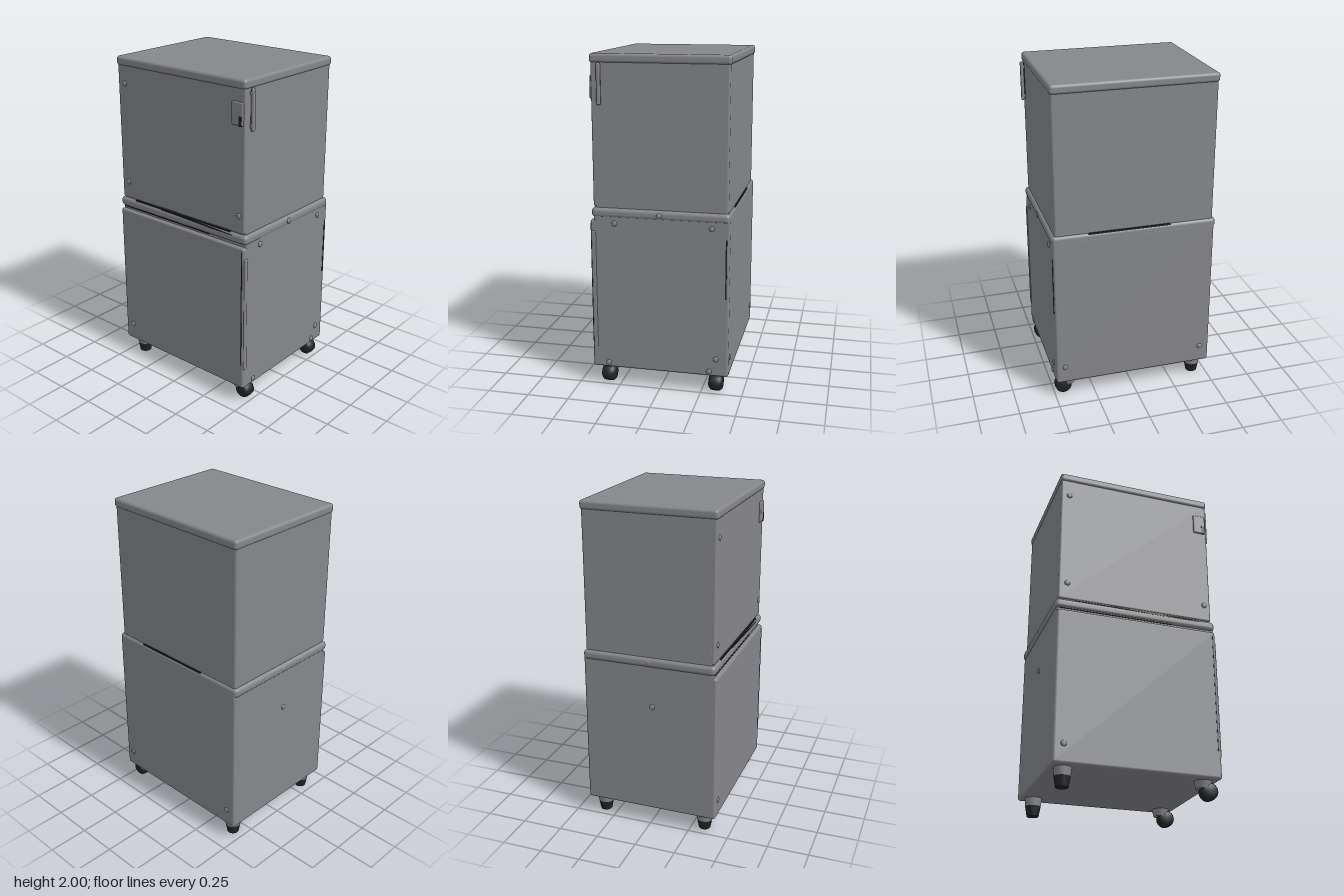
import * as THREE from 'three';
import { RoundedBoxGeometry } from 'three/addons/geometries/RoundedBoxGeometry.js';

export function createModel() {
  const model = new THREE.Group();
  const mat = (name, color) => {
    const m = new THREE.MeshStandardMaterial({ color });
    m.name = name;
    return m;
  };
  const grey = mat('cabinet grey', 0x86878b);
  const dark = mat('rubber black', 0x222426);

  const add = (name, geometry, material, x, y, z, parent = model) => {
    const mesh = new THREE.Mesh(geometry, material);
    mesh.name = name;
    mesh.position.set(x, y, z);
    parent.add(mesh);
    return mesh;
  };
  // Rounded box given by its extents
  const slab = (name, x0, x1, y0, y1, z0, z1, r, material = grey) =>
    add(name, new RoundedBoxGeometry(x1 - x0, y1 - y0, z1 - z0, 3, r), material,
      (x0 + x1) / 2, (y0 + y1) / 2, (z0 + z1) / 2);
  const plate = (name, x, y, z, w, h, d) => add(name, new THREE.BoxGeometry(w, h, d), dark, x, y, z);

  // Lower cabinet, its door, the ledge, the upper cabinet and its lid
  slab('lowerCabinet', -0.5, 0.495, 0.11, 1.08, -0.415, 0.395, 0.014);
  slab('lowerDoor', -0.5, 0.495, 0.11, 1.035, 0.37, 0.418, 0.014);
  slab('ledge', -0.51, 0.5, 1.05, 1.11, -0.415, 0.41, 0.024);
  slab('upperCabinet', -0.492, 0.48, 1.06, 1.99, -0.402, 0.392, 0.014);
  slab('upperDoor', -0.492, 0.48, 1.115, 1.96, 0.375, 0.4, 0.01);
  slab('lid', -0.498, 0.486, 1.945, 2, -0.41, 0.408, 0.018);

  // Dark seams between the cabinets and on the lid edges
  plate('frontUpperSeam', 0, 1.11, 0.4, 0.76, 0.008, 0.008);
  plate('frontLowerSeam', -0.13, 1.054, 0.401, 0.7, 0.008, 0.008);
  const slit = plate('ledgeSlit', 0.12, 1.1, 0.405, 0.56, 0.008, 0.008);
  slit.rotation.z = -0.03;
  plate('backSeam', 0.03, 1.105, -0.408, 0.5, 0.01, 0.008);
  plate('sideSlit', 0.493, 0.78, -0.395, 0.008, 0.36, 0.008);
  plate('doorSlit', 0.478, 0.64, 0.417, 0.006, 0.74, 0.006);

  // Handle on the side of the upper cabinet
  slab('handleGrip', 0.484, 0.505, 1.71, 1.95, 0.338, 0.362, 0.009);
  for (const y of [1.74, 1.92]) slab('handlePost', 0.47, 0.495, y - 0.012, y + 0.012, 0.34, 0.36, 0.005);
  plate('handleShadowGap', 0.482, 1.83, 0.347, 0.006, 0.22, 0.012);

  // Latch with keyhole, and the pull strip on the lower door
  slab('latchPlate', 0.39, 0.47, 1.745, 1.875, 0.392, 0.41, 0.008);
  plate('keyhole', 0.452, 1.77, 0.409, 0.018, 0.055, 0.006);
  slab('doorPull', 0.484, 0.5, 0.24, 0.97, 0.385, 0.412, 0.007);

  // Small domed bolts on the front, sides and back
  const dome = new THREE.SphereGeometry(0.017, 14, 8);
  const bolt = (x, y, z, axis) => {
    const b = add('bolt', dome, grey, x, y, z);
    b.scale[axis] = 0.5;
  };
  for (const [x, y] of [[-0.44, 1.84], [-0.44, 1.22], [0.44, 1.22]]) bolt(x, y, 0.4, 'z');
  bolt(-0.44, 0.22, 0.418, 'z');
  for (const [z, y] of [[0.27, 1.02], [-0.31, 1.02], [-0.34, 0.22], [0.32, 0.14], [-0.3, 0.14]]) {
    bolt(0.496, y, z, 'x');
  }
  bolt(0.5, 1.08, 0, 'x');
  bolt(-0.505, 1.08, 0, 'x');
  bolt(-0.5, 0.8, 0.02, 'x');
  for (const x of [-0.44, 0.44]) bolt(x, 0.22, -0.415, 'z');

  // Casters: narrow tapered ones on one side, swivelled wheels on the other
  for (const z of [-0.335, 0.33]) {
    const foot = new THREE.Group();
    foot.name = 'taperedCaster';
    foot.position.set(-0.42, 0, z);
    model.add(foot);
    add('socket', new THREE.CylinderGeometry(0.053, 0.047, 0.055, 20), grey, 0, 0.088, 0, foot);
    add('tread', new THREE.CylinderGeometry(0.047, 0.036, 0.062, 20), dark, 0, 0.031, 0, foot);

    const caster = new THREE.Group();
    caster.name = 'wheelCaster';
    caster.position.set(0.42, 0, z);
    model.add(caster);
    add('fork', new THREE.CylinderGeometry(0.054, 0.042, 0.05, 20), grey, -0.01, 0.091, 0, caster);
    const profile = [[0, -0.042], [0.034, -0.042], [0.049, -0.028], [0.052, 0], [0.049, 0.028], [0.034, 0.042], [0, 0.042]]
      .map(([r, h]) => new THREE.Vector2(r, h));
    const wheel = add('wheel', new THREE.LatheGeometry(profile, 24), dark, 0.022, 0.052, 0, caster);
    wheel.rotation.x = Math.PI / 2;
  }

  return model;
}
